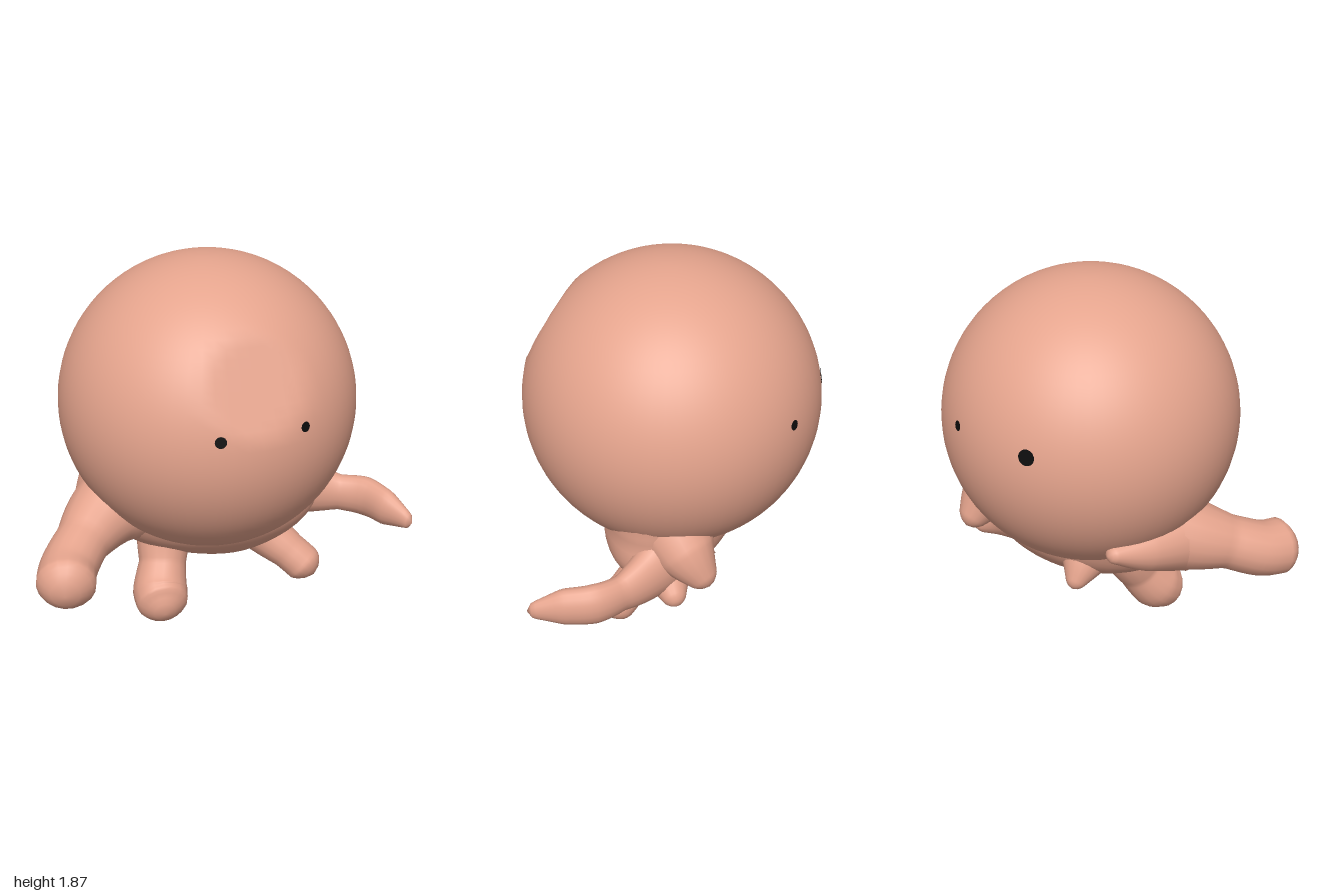
import * as THREE from 'three';
import { mergeVertices } from 'three/addons/utils/BufferGeometryUtils.js';

const HEAD_Y = 1.11, HEAD_R = 0.737;

// Weld seams and give the surface smooth normals
function smooth(geometry) {
  geometry.deleteAttribute('uv');
  geometry.deleteAttribute('normal');
  const g = mergeVertices(geometry, 1e-4);
  g.computeVertexNormals();
  return g;
}

// Tapered tube through [x, y, z, radius] points with a rounded tip;
// flat narrows it horizontally
function limb(points, flat = 1) {
  const curve = new THREE.CatmullRomCurve3(points.map(p => new THREE.Vector3(p[0], p[1], p[2])));
  const rings = 36, sides = 18, last = points.length - 1;
  const geometry = new THREE.TubeGeometry(curve, rings, 1, sides);
  const pos = geometry.attributes.position;
  const capLength = Math.min(0.5, points[last][3] / curve.getLength());
  const v = new THREE.Vector3();
  for (let i = 0; i <= rings; i++) {
    const u = i / rings;
    const center = curve.getPointAt(u);
    const f = curve.getUtoTmapping(u) * last;
    const k = Math.min(last - 1, Math.floor(f));
    let r = THREE.MathUtils.lerp(points[k][3], points[k + 1][3], f - k);
    const s = Math.max(0, (u - 1 + capLength) / capLength);
    r *= Math.sqrt(Math.max(0, 1 - s * s));
    for (let j = 0; j <= sides; j++) {
      const n = i * (sides + 1) + j;
      v.fromBufferAttribute(pos, n).sub(center).multiplyScalar(r);
      v.x *= flat;
      v.z *= flat;
      v.add(center);
      pos.setXYZ(n, v.x, v.y, v.z);
    }
  }
  return smooth(geometry);
}

export function createModel() {
  const group = new THREE.Group();
  const skin = new THREE.MeshStandardMaterial({ color: 0xe5a48d });
  skin.name = 'skin';
  const black = new THREE.MeshStandardMaterial({ color: 0x0c0c0c });
  black.name = 'black';
  const add = (name, geometry, material = skin) => {
    const mesh = new THREE.Mesh(geometry, material);
    mesh.name = name;
    group.add(mesh);
    return mesh;
  };

  // Round head with a slightly flattened brow
  const headShape = new THREE.SphereGeometry(HEAD_R, 64, 48);
  const headPos = headShape.attributes.position;
  const brow = new THREE.Vector3(0, 0.447, 0.894);
  const p = new THREE.Vector3();
  for (let i = 0; i < headPos.count; i++) {
    p.fromBufferAttribute(headPos, i);
    p.addScaledVector(brow, -Math.max(0, p.dot(brow) - 0.695));
    headPos.setXYZ(i, p.x, p.y, p.z);
  }
  add('head', smooth(headShape)).position.y = HEAD_Y;

  // Skirt under the head: flattened front to back, leaning to the left lower down
  const profile = new THREE.SplineCurve([
    [0, 0.18], [0.12, 0.2], [0.3, 0.27], [0.46, 0.36], [0.56, 0.46],
    [0.61, 0.6], [0.62, 0.74], [0.65, 0.86], [0.68, 0.98], [0.6, 1.06]
  ].map(q => new THREE.Vector2(q[0], q[1]))).getPoints(36);
  profile[0].x = 0;
  const skirt = new THREE.LatheGeometry(profile, 48);
  const pos = skirt.attributes.position;
  for (let i = 0; i < pos.count; i++) {
    const y = pos.getY(i);
    pos.setX(i, pos.getX(i) + Math.max(0, 0.6 - y) * 0.38);
    pos.setZ(i, pos.getZ(i) * 0.57 - 0.04);
  }
  add('skirt', smooth(skirt));

  // Long tentacles
  add('rightArm', limb([
    [-0.36, 0.66, -0.02, 0.26], [-0.56, 0.6, 0.06, 0.19], [-0.72, 0.54, 0.2, 0.135],
    [-0.83, 0.48, 0.33, 0.14], [-0.87, 0.46, 0.43, 0.145], [-0.9, 0.45, 0.52, 0.1]]));
  add('rightLeg', limb([
    [-0.18, 0.52, -0.04, 0.24], [-0.24, 0.37, 0.01, 0.14], [-0.27, 0.25, 0.07, 0.12],
    [-0.31, 0.14, 0.15, 0.14], [-0.32, 0.1, 0.22, 0.13], [-0.33, 0.08, 0.29, 0.08]]));
  add('leftLeg', limb([
    [0.18, 0.44, -0.1, 0.24], [0.32, 0.28, -0.01, 0.125], [0.43, 0.18, 0.08, 0.1],
    [0.5, 0.11, 0.13, 0.1], [0.54, 0.06, 0.17, 0.06]]));
  add('leftArm', limb([
    [0.42, 0.5, -0.14, 0.24], [0.6, 0.45, -0.08, 0.15], [0.75, 0.43, 0.0, 0.1],
    [0.86, 0.43, 0.09, 0.11], [0.92, 0.42, 0.23, 0.1], [0.985, 0.4, 0.39, 0.035]], 0.65));

  // Short pointed stumps at the back
  const stumps = [
    [[0.4, 0.66, -0.12, 0.2], [0.49, 0.54, -0.25, 0.15], [0.53, 0.4, -0.38, 0.05]],
    [[0.38, 0.42, -0.1, 0.18], [0.5, 0.36, -0.16, 0.11], [0.61, 0.3, -0.24, 0.04]],
    [[-0.52, 0.6, 0.02, 0.2], [-0.5, 0.63, -0.22, 0.12], [-0.46, 0.67, -0.43, 0.03]],
    [[-0.12, 0.48, -0.14, 0.18], [-0.16, 0.4, -0.26, 0.11], [-0.18, 0.31, -0.36, 0.03]]
  ];
  stumps.forEach((s, i) => add('backStump' + (i + 1), limb(s)));

  // Eye spots on the front and the back of the head: x, y, side, radius
  for (const [x, y, side, r] of [
    [-0.195, 1.22, 1, 0.028], [0.222, 1.225, 1, 0.025],
    [-0.2, 1.24, -1, 0.04], [0.24, 1.24, -1, 0.025]]) {
    const dy = y - HEAD_Y;
    const dir = new THREE.Vector3(x, dy, side * Math.sqrt(HEAD_R ** 2 - x * x - dy * dy)).normalize();
    const eye = add(side > 0 ? 'eye' : 'backSpot', new THREE.CircleGeometry(r, 16), black);
    eye.position.copy(dir).multiplyScalar(HEAD_R + 0.002);
    eye.position.y += HEAD_Y;
    eye.quaternion.setFromUnitVectors(new THREE.Vector3(0, 0, 1), dir);
  }
  return group;
}
